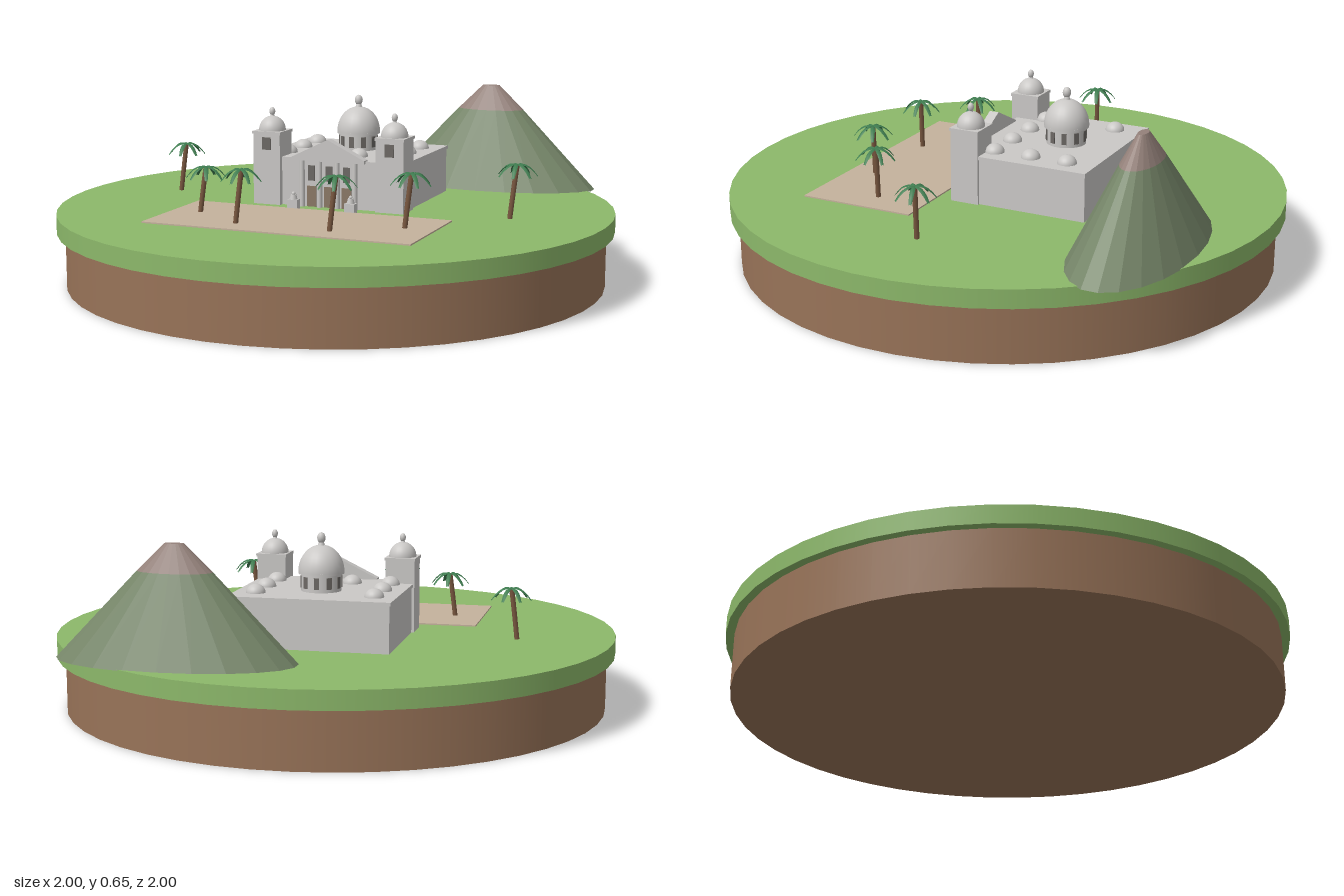
import * as THREE from 'three';

const mat = (name, color, extra = {}) => {
  const m = new THREE.MeshStandardMaterial({ color, ...extra });
  m.name = name;
  return m;
};

export function createModel() {
  const grass = mat('grass', 0x8cb86a);
  const dirt = mat('dirt', 0x987358);
  const paving = mat('paving', 0xc4b29c);
  const stone = mat('stone', 0xcac8c6);
  const glass = mat('window grey', 0x6c6864);
  const wood = mat('door brown', 0x8a7866);
  const slope = mat('mountain green', 0x758568, { flatShading: true });
  const peak = mat('peak rock', 0x94817a, { flatShading: true });
  const bark = mat('bark', 0x7a5840);
  const leaf = mat('palm leaf', 0x3f7d50, { side: THREE.DoubleSide });

  const root = new THREE.Group();
  root.name = 'islandCathedral';
  const GROUND = 0.265;
  const TURN = -0.35;

  const add = (parent, name, geo, material, x = 0, y = 0, z = 0) => {
    const m = new THREE.Mesh(geo, material);
    m.name = name;
    m.position.set(x, y, z);
    parent.add(m);
    return m;
  };
  const group = (parent, name, x = 0, y = 0, z = 0, ry = 0) => {
    const g = new THREE.Group();
    g.name = name;
    g.position.set(x, y, z);
    g.rotation.y = ry;
    parent.add(g);
    return g;
  };
  // Box standing on y
  const block = (parent, name, w, h, d, material, x, y, z) =>
    add(parent, name, new THREE.BoxGeometry(w, h, d), material, x, y + h / 2, z);
  // Cylinder standing on y
  const drum = (parent, name, rTop, rBot, h, material, x, y, z, sides = 20) =>
    add(parent, name, new THREE.CylinderGeometry(rTop, rBot, h, sides), material, x, y + h / 2, z);
  // Half sphere standing on y
  const dome = (parent, name, r, h, x, y, z) => {
    const m = add(parent, name, new THREE.SphereGeometry(r, 24, 10, 0, Math.PI * 2, 0, Math.PI / 2), stone, x, y, z);
    m.scale.y = h / r;
    return m;
  };

  // Round base
  drum(root, 'earthBase', 0.97, 0.97, 0.2, dirt, 0, 0, 0, 48);
  drum(root, 'grassDisc', 1, 1, 0.065, grass, 0, 0.2, 0, 48);

  // Paved square
  const plaza = group(root, 'plaza', -0.12, GROUND, 0.325, TURN);
  block(plaza, 'paving', 0.977, 0.005, 0.424, paving, 0, 0, 0);

  // Mountain: stretched frustum with a rocky cap
  const mountain = group(root, 'mountain', 0.585, GROUND - 0.003, -0.5, TURN);
  mountain.scale.set(0.414, 1, 0.2);
  drum(mountain, 'mountainSlope', 0.31, 1, 0.296, slope, 0, 0, 0, 22);
  drum(mountain, 'mountainPeak', 0.08, 0.31, 0.092, peak, 0, 0.296, 0, 22);

  // Cathedral
  const church = group(root, 'cathedral', 0.06, GROUND, -0.17, TURN);
  block(church, 'nave', 0.56, 0.163, 0.405, stone, 0, 0, -0.043);
  block(church, 'naveCornice', 0.57, 0.012, 0.41, stone, 0, 0.163, -0.043);
  block(church, 'facade', 0.4, 0.175, 0.09, stone, 0, 0, 0.193);

  // Pediment above the facade
  const tri = new THREE.Shape();
  tri.moveTo(-0.14, 0);
  tri.lineTo(0.14, 0);
  tri.lineTo(0, 0.068);
  tri.closePath();
  add(church, 'pediment', new THREE.ExtrudeGeometry(tri, { depth: 0.035, bevelEnabled: false }), stone, 0, 0.18, 0.22);
  block(church, 'entablature', 0.28, 0.012, 0.035, stone, 0, 0.168, 0.2375);

  // Columns, doors and upper windows
  for (let i = 0; i < 4; i++) {
    drum(church, 'column', 0.009, 0.01, 0.168, stone, (i - 1.5) * 0.068, 0, 0.246, 12);
  }
  for (let i = -1; i <= 1; i++) {
    block(church, 'door', 0.036, 0.075, 0.006, wood, i * 0.068, 0, 0.239);
    block(church, 'facadeWindow', 0.026, 0.055, 0.006, glass, i * 0.068, 0.095, 0.239);
  }

  // Bell towers and the statues before them
  for (const s of [-1, 1]) {
    const tower = group(church, 'tower', s * 0.237, 0, 0.206);
    block(tower, 'towerShaft', 0.105, 0.256, 0.105, stone, 0, 0, 0);
    block(tower, 'towerCornice', 0.111, 0.01, 0.111, stone, 0, 0.256, 0);
    block(tower, 'towerWindow', 0.034, 0.045, 0.006, glass, 0, 0.2, 0.052);
    dome(tower, 'towerDome', 0.049, 0.052, 0, 0.266, 0);
    drum(tower, 'towerFinial', 0.004, 0.01, 0.015, stone, 0, 0.313, 0, 10);
    add(tower, 'finialBall', new THREE.SphereGeometry(0.011, 12, 8), stone, 0, 0.334, 0).scale.y = 1.4;

    const statue = group(church, 'statue', s * 0.11, 0, 0.306);
    block(statue, 'pedestal', 0.038, 0.035, 0.028, stone, 0, 0, 0);
    drum(statue, 'figure', 0.01, 0.014, 0.018, stone, 0, 0.035, 0, 12);
    add(statue, 'head', new THREE.SphereGeometry(0.007, 10, 8), stone, 0, 0.056, 0);
  }

  // Central dome on a windowed drum
  const centre = group(church, 'centralDome', 0, 0.175, -0.049);
  drum(centre, 'domeDrum', 0.07, 0.07, 0.06, stone, 0, 0, 0, 24);
  drum(centre, 'domeRing', 0.08, 0.08, 0.008, stone, 0, 0.06, 0, 24);
  for (let i = 0; i < 10; i++) {
    const bay = group(centre, 'drumBay', 0, 0, 0, (i / 10) * Math.PI * 2);
    block(bay, 'drumWindow', 0.018, 0.04, 0.006, glass, 0, 0.012, 0.0695);
  }
  dome(centre, 'dome', 0.08, 0.092, 0, 0.067, 0);
  drum(centre, 'domeLantern', 0.008, 0.014, 0.018, stone, 0, 0.153, 0, 12);
  add(centre, 'domeFinial', new THREE.SphereGeometry(0.015, 12, 8), stone, 0, 0.183, 0).scale.y = 1.3;

  // Small roof domes
  for (const s of [-1, 1]) {
    for (const [x, z] of [[0.208, -0.147], [0.208, -0.01], [0.208, 0.128], [0.07, 0.128]]) {
      dome(church, 'roofDome', 0.034, 0.031, s * x, 0.174, z);
    }
  }

  // Drooping frond: a folded strip bent downwards along +x
  const frond = new THREE.PlaneGeometry(0.074, 0.02, 5, 2).rotateX(-Math.PI / 2);
  const p = frond.attributes.position;
  for (let i = 0; i < p.count; i++) {
    const t = p.getX(i) / 0.074 + 0.5;
    const side = p.getZ(i) * (0.45 + 1.5 * t * (1 - t));
    p.setXYZ(i, t * 0.071, 0.03 * t - 0.068 * t * t - Math.abs(side) * 0.6, side);
  }
  frond.computeVertexNormals();

  // Palms: crown x, crown z, crown height
  const palms = [
    [-0.58, -0.285, 0.18], [-0.45, 0.17, 0.165], [-0.305, 0.37, 0.19],
    [0.02, 0.49, 0.19], [0.27, 0.43, 0.19], [0.635, 0.23, 0.19],
  ];
  palms.forEach(([x, z, h], n) => {
    const palm = group(root, 'palm', x, GROUND, z);
    const path = new THREE.QuadraticBezierCurve3(
      new THREE.Vector3(-0.022, 0, 0),
      new THREE.Vector3(-0.012, h * 0.5, 0),
      new THREE.Vector3(0, h, 0));
    add(palm, 'trunk', new THREE.TubeGeometry(path, 5, 0.009, 7), bark);
    const crown = group(palm, 'crown', 0, h, 0, n * 0.35);
    for (let i = 0; i < 7; i++) {
      add(crown, 'frond', frond, leaf).rotation.y = (i / 7) * Math.PI * 2;
    }
  });

  return root;
}
